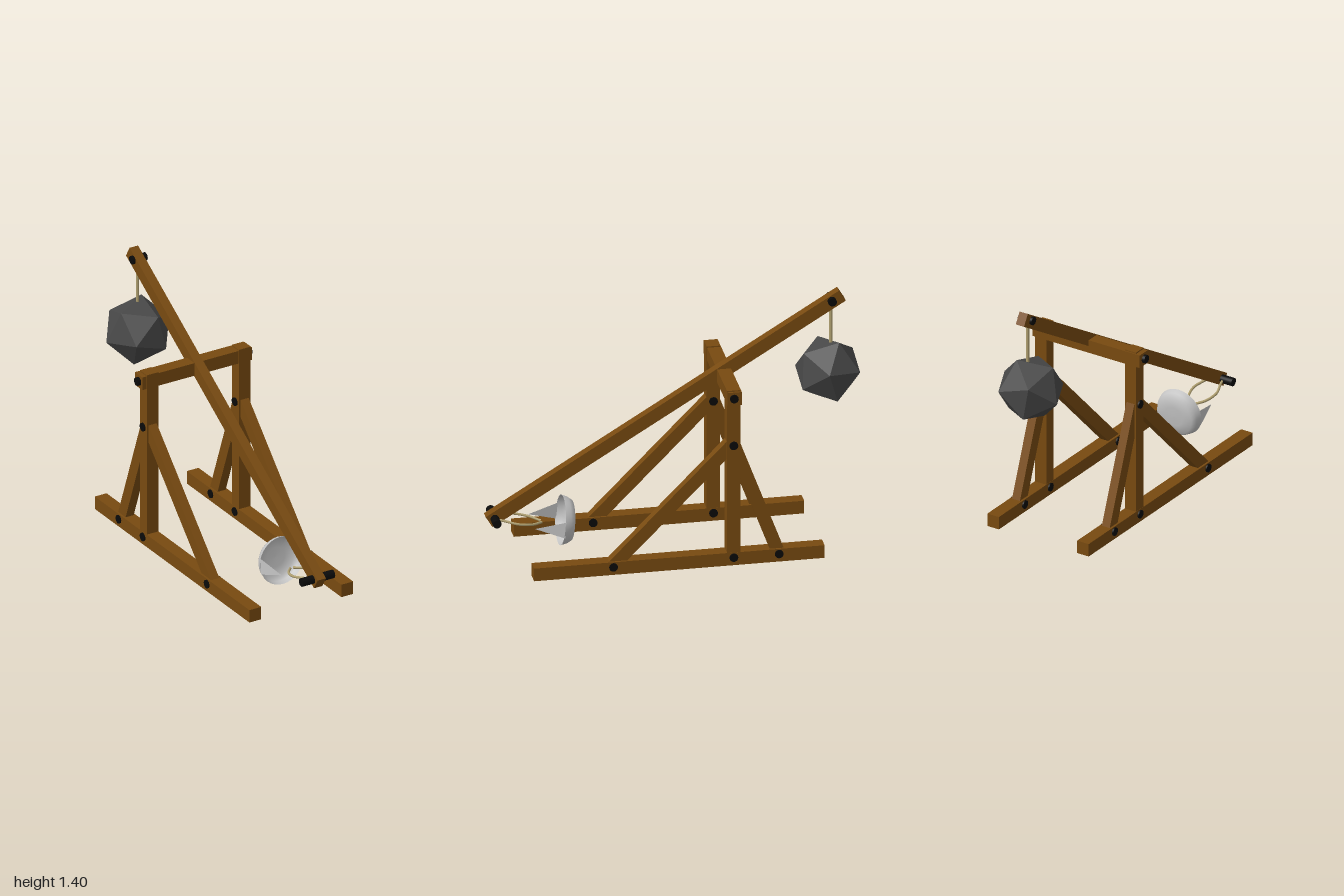
import * as THREE from 'three';

const V = (x, y, z) => new THREE.Vector3(x, y, z);

export function createModel() {
  const mat = (name, color) => {
    const m = new THREE.MeshStandardMaterial({ color });
    m.name = name;
    return m;
  };
  const wood = mat('wood', 0x784a10);
  const iron = mat('blackIron', 0x0a0a0a);
  const rope = mat('rope', 0xb0a070);
  const stone = mat('darkStone', 0x484848);
  stone.flatShading = true;
  const leather = mat('paleGrey', 0xc4c4c4);
  leather.side = THREE.DoubleSide;

  const model = new THREE.Group();
  model.name = 'catapult';
  const add = (name, geometry, material) => {
    const mesh = new THREE.Mesh(geometry, material);
    mesh.name = name;
    model.add(mesh);
    return mesh;
  };

  // Timber in a plane of constant x, running from one (y, z) point to another
  const timber = (name, x, [y0, z0], [y1, z1], width, depth) => {
    const dy = y1 - y0, dz = z1 - z0;
    const mesh = add(name, new THREE.BoxGeometry(width, Math.hypot(dy, dz), depth), wood);
    mesh.position.set(x, (y0 + y1) / 2, (z0 + z1) / 2);
    mesh.rotation.x = Math.atan2(dz, dy);
  };
  // Round pin lying along x
  const pin = (name, x, y, z, length) => {
    const mesh = add(name, new THREE.CylinderGeometry(0.023, 0.023, length, 20), iron);
    mesh.rotation.z = Math.PI / 2;
    mesh.position.set(x, y, z);
  };

  const cx = 0.004, postZ = -0.27;

  // Side frames: rail, post, two braces and their bolts
  for (const side of [-1, 1]) {
    const x = cx + side * 0.284;
    timber('baseRail', x, [0.0365, -0.757], [0.0365, 0.8], 0.073, 0.073);
    timber('post', x, [0.002, postZ], [1.012, postZ], 0.071, 0.071);
    timber('frontBrace', x, [0.045, 0.375], [0.7, postZ], 0.05, 0.07);
    timber('backBrace', x, [0.045, -0.513], [0.7, postZ], 0.05, 0.07);
    for (const [y, z] of [[0.045, 0.375], [0.045, postZ], [0.045, -0.513], [0.693, postZ]]) {
      pin('bolt', x, y, z, 0.088);
    }
  }

  // Crossbeam with the axle ends showing
  const beam = add('crossbeam', new THREE.BoxGeometry(0.677, 0.074, 0.075), wood);
  beam.position.set(-0.004, 0.968, -0.274);
  pin('axle', -0.007, 0.97, postZ, 0.704);

  // Throwing arm and its two pins
  timber('throwingArm', 0.006, [0.226, 0.985], [1.374, -0.908], 0.052, 0.071);
  pin('slingPin', 0.006, 0.243, 0.955, 0.197);
  pin('weightPin', 0.011, 1.35, -0.852, 0.088);

  // Counterweight: an icosahedron turned so that one edge runs from a to b
  const weightAt = V(-0.003, 0.941, -0.836);
  const a = V(0.06, 0.17, -0.05).normalize(), b = V(0.177, 0.045, 0.02).normalize();
  const ex = b.clone().sub(a).normalize(), ey = a.clone().add(b).normalize();
  const weight = add('counterweight', new THREE.IcosahedronGeometry(0.186, 0), stone);
  weight.quaternion.setFromRotationMatrix(
    new THREE.Matrix4().makeBasis(ex, ey, ex.clone().cross(ey)));
  weight.position.copy(weightAt);
  const hanger = add('weightRope', new THREE.CylinderGeometry(0.009, 0.009, 0.33, 10), rope);
  hanger.position.set(0.006, 1.185, -0.852);

  // Sling ropes bowing out from the pin and meeting before the pouch
  for (const s of [-1, 1]) {
    const path = new THREE.CatmullRomCurve3([
      V(0.006 + s * 0.036, 0.245, 0.955), V(0.006 + s * 0.046, 0.236, 0.91),
      V(0.006 + s * 0.07, 0.22, 0.835), V(0.006 + s * 0.055, 0.205, 0.76),
      V(0.006 + s * 0.01, 0.194, 0.7),
    ]);
    add('slingRope', new THREE.TubeGeometry(path, 24, 0.007, 8), rope);
  }

  // Pouch: a shallow bowl opening forward, with a pointed flap on each side
  const pouch = new THREE.Group();
  pouch.name = 'pouch';
  pouch.position.set(0.007, 0.194, 0.597);
  pouch.rotation.x = -0.1;
  model.add(pouch);
  const profile = [[0, -0.062], [0.055, -0.061], [0.108, -0.056], [0.125, -0.03], [0.134, 0]];
  const bowl = new THREE.Mesh(
    new THREE.LatheGeometry(profile.map(([r, h]) => new THREE.Vector2(Math.max(r, 0.0001), h)), 32), leather);
  bowl.name = 'pouchBowl';
  bowl.rotation.x = Math.PI / 2;
  pouch.add(bowl);
  for (const s of [-1, 1]) {
    const geometry = new THREE.BufferGeometry().setFromPoints([
      V(s * 0.128, 0.042, -0.005), V(s * 0.128, -0.05, -0.005), V(s * 0.095, -0.012, 0.155),
    ]);
    geometry.computeVertexNormals();
    const flap = new THREE.Mesh(geometry, leather);
    flap.name = 'pouchFlap';
    pouch.add(flap);
  }

  return model;
}
